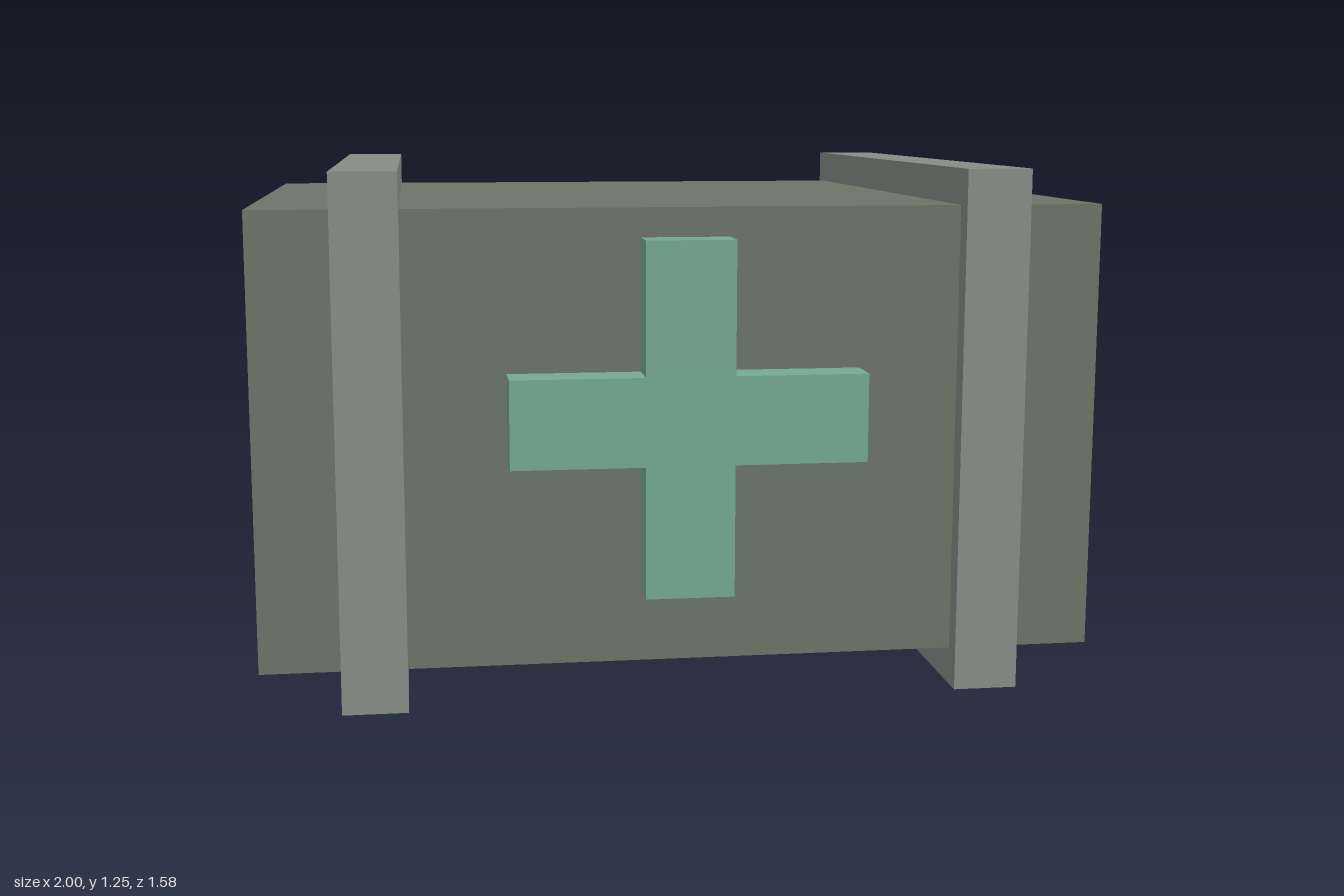
import * as THREE from 'three';

const paint = (color) => new THREE.MeshStandardMaterial({ color, flatShading: true });

// Box given by its lower and upper corners
function box(name, min, max, material) {
  const size = max.map((v, i) => v - min[i]);
  const mesh = new THREE.Mesh(new THREE.BoxGeometry(...size), material);
  mesh.position.set(...max.map((v, i) => (v + min[i]) / 2));
  mesh.name = name;
  return mesh;
}

export function createModel() {
  const group = new THREE.Group();
  group.name = 'medicalCrate';

  // Crate body
  group.add(box('body', [-1, 0.09, -0.74], [1, 1.167, 0.69], paint(0x6b7568)));

  // Bands wrapped around the crate
  const bandPaint = paint(0x878d86);
  for (const [name, x] of [['leftBand', 0.732], ['rightBand', -0.732]]) {
    group.add(box(name, [x - 0.077, 0, -0.79], [x + 0.077, 1.253, 0.74], bandPaint));
  }

  // Raised cross on the front: one arm outline turned four times
  const w = 0.104, r = 0.416;
  const points = [];
  const center = new THREE.Vector2();
  for (let i = 0; i < 4; i++) {
    for (const [x, y] of [[w, -w], [r, -w], [r, w]]) {
      points.push(new THREE.Vector2(x, y).rotateAround(center, i * Math.PI / 2));
    }
  }
  const crossGeometry = new THREE.ExtrudeGeometry(new THREE.Shape(points), { depth: 0.11, bevelEnabled: false });
  const cross = new THREE.Mesh(crossGeometry, paint(0x74aa90));
  cross.name = 'frontCross';
  cross.position.set(0, 0.682, 0.68);
  group.add(cross);

  return group;
}
